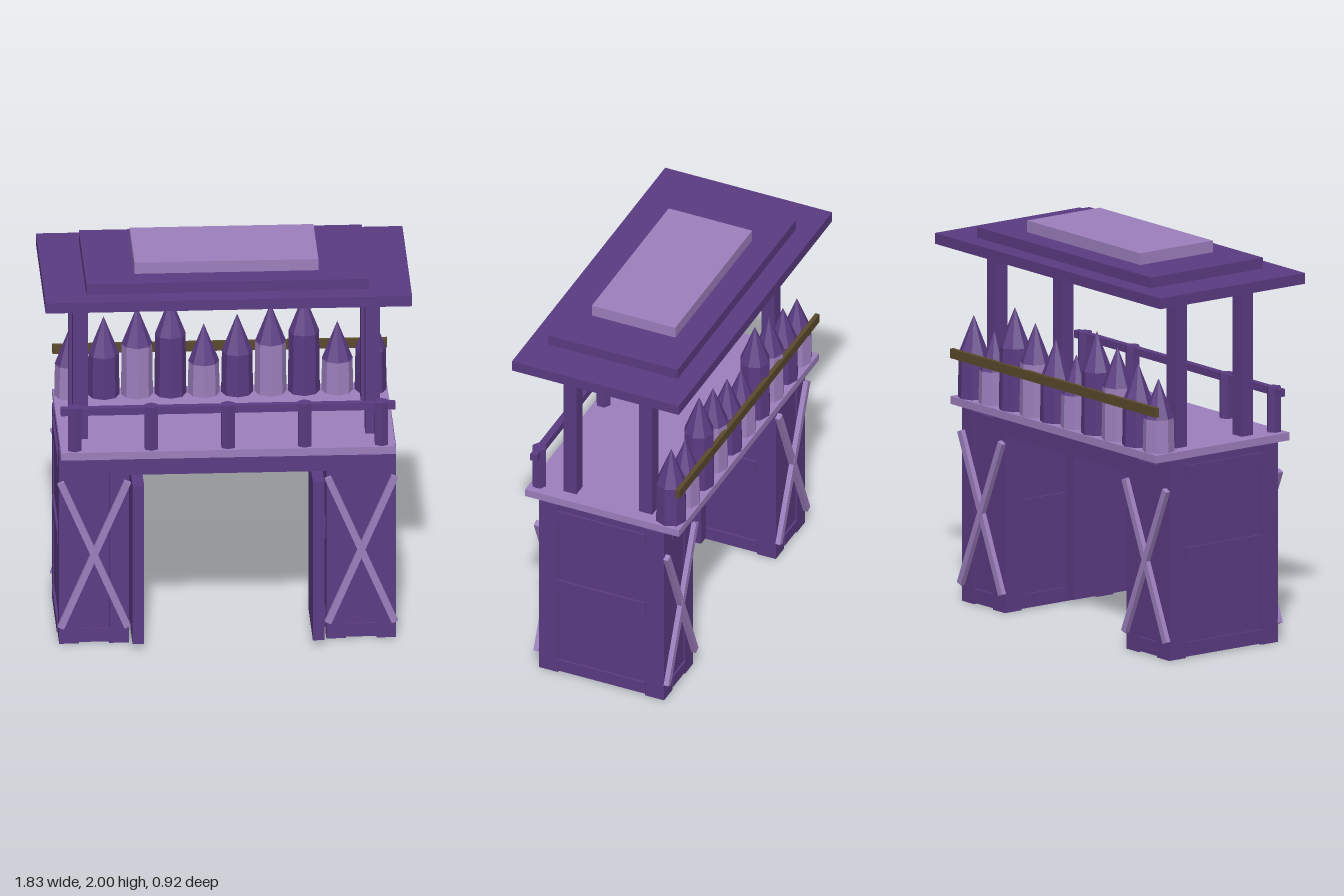
import * as THREE from 'three';

export function createModel() {
  const root = new THREE.Group();
  root.name = 'gatehouse';

  const mat = (name, color) => {
    const m = new THREE.MeshStandardMaterial({ color, flatShading: true });
    m.name = name;
    return m;
  };
  const dark = mat('darkPurpleWood', 0x5a3b82);
  const light = mat('lightPurpleWood', 0x9c7fbd);
  const brown = mat('brownWood', 0x5a4a2c);

  const add = (parent, name, geometry, material, x, y, z) => {
    const mesh = new THREE.Mesh(geometry, material);
    mesh.name = name;
    mesh.position.set(x, y, z);
    parent.add(mesh);
    return mesh;
  };
  // Box given by its limits on each axis
  const box = (parent, name, material, [x0, x1], [y0, y1], [z0, z1]) =>
    add(parent, name, new THREE.BoxGeometry(x1 - x0, y1 - y0, z1 - z0), material,
      (x0 + x1) / 2, (y0 + y1) / 2, (z0 + z1) / 2);

  for (const side of [-1, 1]) {
    // Tower: panelled core with corner posts and cross bands
    const tower = new THREE.Group();
    tower.name = side > 0 ? 'leftTower' : 'rightTower';
    tower.position.x = side * 0.667;
    root.add(tower);
    box(tower, 'core', dark, [-0.168, 0.168], [0.005, 1.02], [-0.336, 0.336]);
    for (const sx of [-1, 1]) for (const sz of [-1, 1]) {
      add(tower, 'cornerPost', new THREE.BoxGeometry(0.098, 1.02, 0.104), dark,
        sx * 0.125, 0.51, sz * 0.291);
    }
    for (const [y0, y1] of [[0.02, 0.08], [0.5, 0.565], [0.92, 0.985]]) {
      box(tower, 'sideBand', dark, [-0.18, 0.18], [y0, y1], [-0.24, 0.24]);
    }
    for (const [y0, y1] of [[0.02, 0.08], [0.92, 0.985]]) {
      box(tower, 'endBand', dark, [-0.077, 0.077], [y0, y1], [-0.348, 0.348]);
    }

    // Crossed braces on the front and back
    for (const sz of [-1, 1]) for (const lean of [-1, 1]) {
      const brace = add(tower, 'crossBrace', new THREE.BoxGeometry(0.034, 0.85, 0.026), light,
        0, 0.483, sz * (0.356 + lean * 0.001));
      brace.rotation.z = lean * 0.404;
    }

    // Open door leaf
    add(root, 'doorLeaf', new THREE.BoxGeometry(0.058, 0.85, 0.395), dark, side * 0.45, 0.452, 0.232);

    // Roof pillars
    for (const sz of [-1, 1]) {
      add(root, 'roofPillar', new THREE.BoxGeometry(0.074, 0.73, 0.072), dark,
        side * 0.73, 1.425, sz * 0.208);
    }
  }

  // Beam over the gateway and walkway deck
  box(root, 'gateBeam', dark, [-0.5, 0.5], [0.9, 1.02], [-0.335, 0.335]);
  box(root, 'deck', light, [-0.835, 0.835], [1.02, 1.06], [-0.422, 0.422]);

  // Sharpened stakes along the back
  for (let i = 0; i < 10; i++) {
    const stake = new THREE.Group();
    stake.name = 'stake';
    stake.position.set(-0.75 + i / 6, 1.06, -0.34);
    root.add(stake);
    const h = 0.17 + 0.05 * (i % 4);
    add(stake, 'stakeShaft', new THREE.CylinderGeometry(0.076, 0.08, h, 8),
      i % 2 ? dark : light, 0, h / 2, 0);
    add(stake, 'stakeTip', new THREE.ConeGeometry(0.078, 0.2, 8), dark, 0, h + 0.1, 0);
  }
  box(root, 'stakeRail', brown, [-0.835, 0.835], [1.255, 1.303], [-0.425, -0.403]);

  // Front railing with hexagonal posts
  for (let i = -2; i <= 2; i++) {
    add(root, 'railingPost', new THREE.CylinderGeometry(0.038, 0.038, 0.23, 6), dark,
      i * 0.383, 1.175, 0.376);
  }
  box(root, 'railing', dark, [-0.835, 0.835], [1.248, 1.286], [0.358, 0.394]);

  // Stepped roof
  box(root, 'lowerRoof', dark, [-0.915, 0.915], [1.83, 1.885], [-0.458, 0.458]);
  box(root, 'middleRoof', dark, [-0.706, 0.706], [1.885, 1.94], [-0.355, 0.355]);
  box(root, 'upperRoof', light, [-0.459, 0.459], [1.94, 2], [-0.229, 0.229]);

  return root;
}
